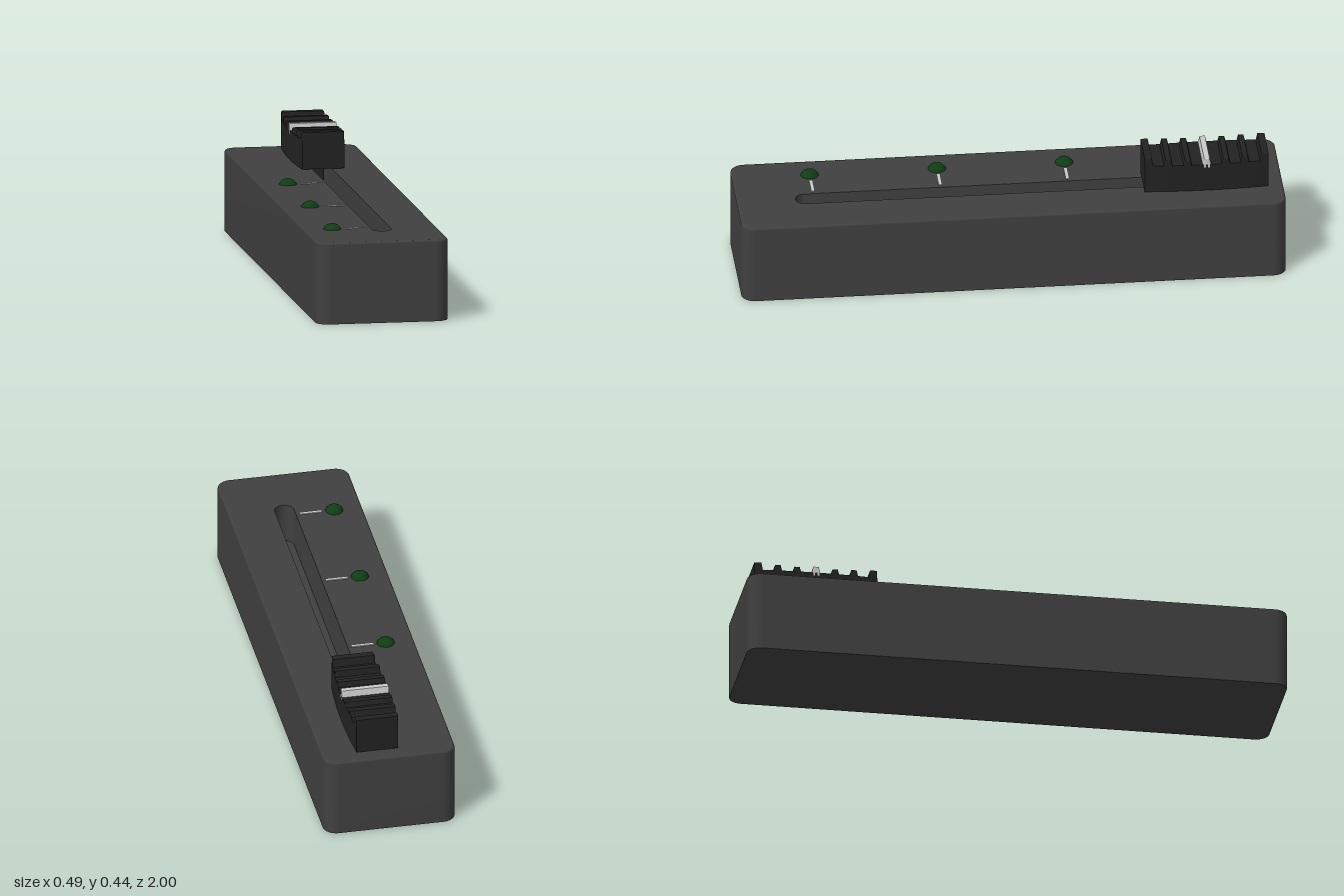
import * as THREE from 'three';

const mat = (color) => new THREE.MeshStandardMaterial({ color });

// Rounded rectangle in plan; starts mid-edge so a swept wall has no visible seam
function plan(cx, hw, hl, r) {
  const s = new THREE.Shape();
  s.moveTo(cx + hw, 0);
  s.lineTo(cx + hw, hl - r);
  s.absarc(cx + hw - r, hl - r, r, 0, Math.PI / 2);
  s.absarc(cx - hw + r, hl - r, r, Math.PI / 2, Math.PI);
  s.absarc(cx - hw + r, -hl + r, r, Math.PI, Math.PI * 1.5);
  s.absarc(cx + hw - r, -hl + r, r, Math.PI * 1.5, Math.PI * 2);
  s.lineTo(cx + hw, 0);
  return s;
}

// Wall through stacked rings, each [y, inset]
function wall(rings, cx, hw, hl, r) {
  const pos = [], idx = [];
  let n = 0;
  for (const [y, d] of rings) {
    const pts = plan(cx, hw - d, hl - d, r - d).getPoints(10);
    n = pts.length;
    for (const p of pts) pos.push(p.x, y, -p.y);
  }
  for (let k = 0; k < rings.length - 1; k++) {
    for (let i = 0; i < n - 1; i++) {
      const a = k * n + i, b = a + 1, c = a + n, d = c + 1;
      idx.push(a, b, d, a, d, c);
    }
  }
  const g = new THREE.BufferGeometry();
  g.setAttribute('position', new THREE.Float32BufferAttribute(pos, 3));
  g.setIndex(idx);
  g.computeVertexNormals();
  return g;
}

// Flat horizontal face at height y
function sheet(shape, y, up = true) {
  return new THREE.ShapeGeometry(shape, 10).rotateX(up ? -Math.PI / 2 : Math.PI / 2).translate(0, y, 0);
}

const KNOB_HALF = 0.2275;
// Sides of the knob bow outwards towards its middle
function bulge(g) {
  const p = g.attributes.position;
  for (let i = 0; i < p.count; i++) {
    const t = p.getZ(i) / KNOB_HALF;
    p.setX(i, p.getX(i) * (1 - 0.12 * t * t));
  }
  g.computeVertexNormals();
  return g;
}

// Grip ridge across the knob; outer = +1 / -1 keeps the end face upright
function ridge(z, top, outer) {
  const w = 0.016, a = 0.010, b = 0.395;
  const s = new THREE.Shape([
    new THREE.Vector2(-w, b),
    new THREE.Vector2(w, b),
    new THREE.Vector2(w, 0.41),
    new THREE.Vector2(outer < 0 ? w : a, top),
    new THREE.Vector2(outer > 0 ? -w : -a, top),
    new THREE.Vector2(-w, 0.41),
  ]);
  const bev = 0.005, width = 0.176;
  const g = new THREE.ExtrudeGeometry(s, {
    depth: width - 2 * bev, bevelThickness: bev, bevelSize: bev, bevelOffset: -bev, bevelSegments: 3,
  });
  g.translate(0, 0, -width / 2 + bev).rotateY(Math.PI / 2).translate(0, 0, z);
  return bulge(g);
}

export function createModel() {
  const root = new THREE.Group();
  const add = (parent, name, geometry, material) => {
    const m = new THREE.Mesh(geometry, material);
    m.name = name;
    parent.add(m);
    return m;
  };
  const housingMat = mat(0x404040), knobMat = mat(0x222222);
  const ledMat = mat(0x0f3d14), markMat = mat(0xcccccc);

  // Housing with a blind slot
  const H = 0.302, FLOOR = 0.15;
  const body = [0, 0.245, 1, 0.05], slot = [0.038, 0.036, 0.785, 0.036];
  const housing = new THREE.Group();
  housing.name = 'housing';
  root.add(housing);
  const edge = [[0, 0], [H - 0.008, 0], [H - 0.004, 0.001], [H - 0.001, 0.004], [H, 0.008]];
  add(housing, 'housingSides', wall(edge, ...body), housingMat);
  const topShape = plan(0, 0.237, 0.992, 0.042);
  topShape.holes.push(plan(...slot));
  add(housing, 'housingTop', sheet(topShape, H), housingMat);
  add(housing, 'housingBottom', sheet(plan(...body), 0, false), housingMat);
  add(housing, 'slotWalls', wall([[H, 0], [FLOOR, 0]], ...slot), housingMat);
  add(housing, 'slotFloor', sheet(plan(...slot), FLOOR), housingMat);

  // Sliding knob with its stem in the slot
  const knob = new THREE.Group();
  knob.name = 'sliderKnob';
  knob.position.set(0.04, 0, -0.718);
  root.add(knob);
  const block = new THREE.BoxGeometry(0.176, 0.107, KNOB_HALF * 2, 1, 1, 16).translate(0, 0.3585, 0);
  add(knob, 'knobBlock', bulge(block), knobMat);
  add(knob, 'knobStem', new THREE.BoxGeometry(0.06, 0.16, 0.12).translate(0, 0.23, 0), knobMat);
  const tops = [0.437, 0.432, 0.436, 0.442];
  for (let i = -3; i <= 3; i++) {
    const outer = Math.abs(i) === 3 ? Math.sign(i) : 0;
    add(knob, i ? 'gripRidge' : 'pointerRidge', ridge(i * 0.0705, tops[Math.abs(i)], outer), i ? knobMat : markMat);
  }

  // Indicator lamps and their position marks
  for (const z of [-0.22, 0.247, 0.715]) {
    const lamp = add(root, 'indicatorLamp', new THREE.SphereGeometry(0.036, 32, 20), ledMat);
    lamp.position.set(-0.14, 0.288, z);
    const mark = add(root, 'positionMark', new THREE.BoxGeometry(0.083, 0.006, 0.013), markMat);
    mark.position.set(-0.0535, 0.302, z);
  }
  return root;
}
